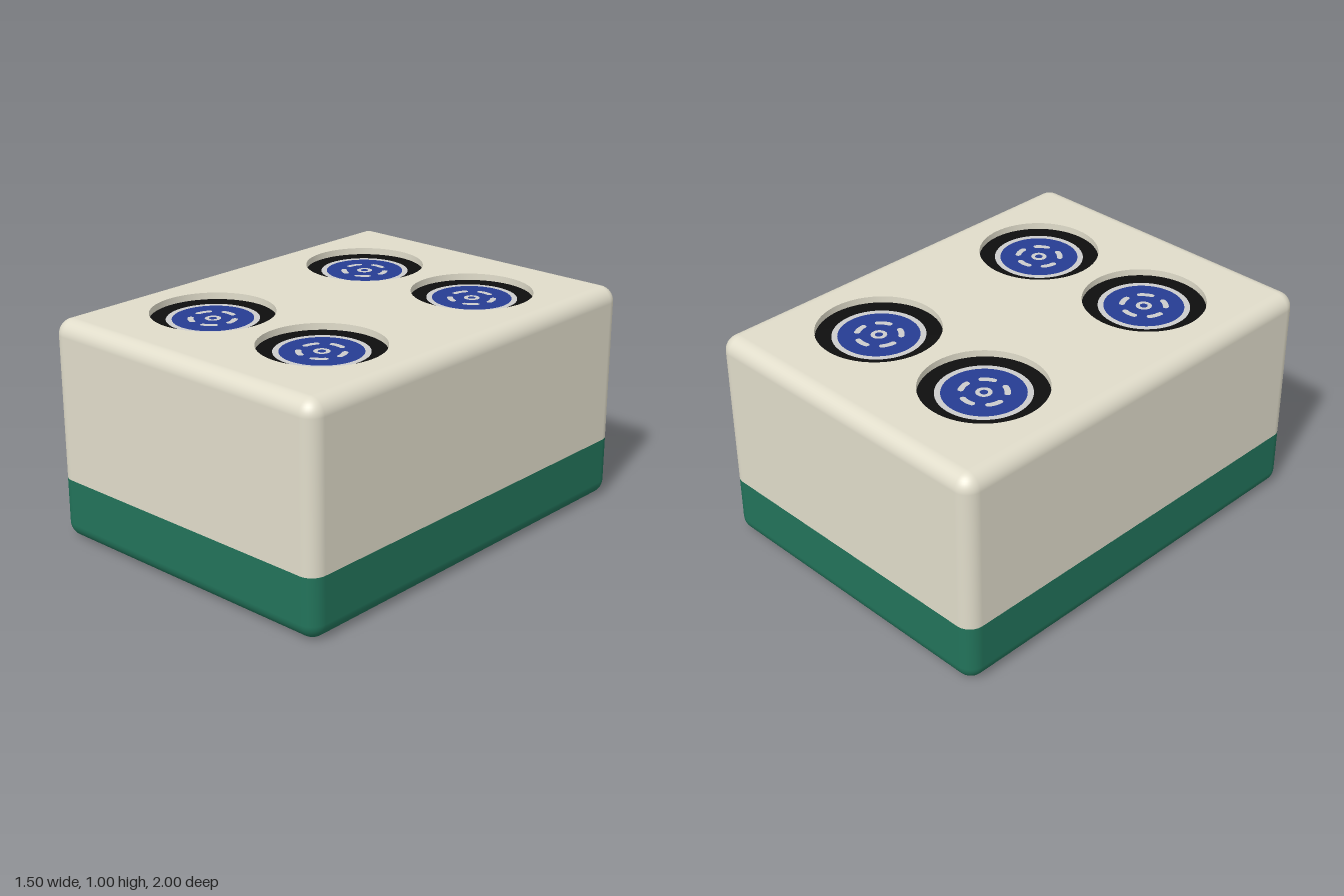
import * as THREE from 'three';

const HX = 0.75, HZ = 1, H = 1, R = 0.07, SEAM = 0.28;
const DOT_R = 0.27, DEPTH = 0.03;
const DOTS = [[-0.316, -0.488], [0.316, -0.488], [-0.316, 0.48], [0.316, 0.48]];

const paint = (color, side = THREE.FrontSide) =>
  new THREE.MeshStandardMaterial({ color, side });

function addMesh(parent, name, geometry, material) {
  const mesh = new THREE.Mesh(geometry, material);
  mesh.name = name;
  parent.add(mesh);
  return mesh;
}

// Flat shape laid horizontally, facing up
const flat = (shapes, y) =>
  new THREE.ShapeGeometry(shapes, 32).rotateX(-Math.PI / 2).translate(0, y, 0);

// Side wall of a rounded box; each row is [height, elevation angle of the normal]
function roundedWall(rows, n = 10) {
  const pos = [], nor = [], idx = [];
  const per = 4 * (n + 1);
  for (const [y, a] of rows) {
    for (let q = 0; q < 4; q++) {
      const sx = q === 0 || q === 3 ? 1 : -1, sz = q < 2 ? 1 : -1;
      for (let i = 0; i <= n; i++) {
        const t = (q + i / n) * Math.PI / 2;
        const cx = Math.cos(a) * Math.cos(t), cz = Math.cos(a) * Math.sin(t);
        pos.push(sx * (HX - R) + R * cx, y, sz * (HZ - R) + R * cz);
        nor.push(cx, Math.sin(a), cz);
      }
    }
  }
  for (let r = 0; r < rows.length - 1; r++) {
    for (let i = 0; i < per; i++) {
      const j = (i + 1) % per;
      const a = r * per + i, c = r * per + j, b = a + per, d = c + per;
      idx.push(a, b, c, c, b, d);
    }
  }
  const g = new THREE.BufferGeometry();
  g.setAttribute('position', new THREE.Float32BufferAttribute(pos, 3));
  g.setAttribute('normal', new THREE.Float32BufferAttribute(nor, 3));
  g.setIndex(idx);
  return g;
}

function rectShape() {
  const x = HX - R, z = HZ - R;
  return new THREE.Shape([[-x, -z], [x, -z], [x, z], [-x, z]].map(p => new THREE.Vector2(...p)));
}

function disc(r, inner = 0, x = 0, y = 0) {
  const s = new THREE.Shape().absarc(x, y, r, 0, Math.PI * 2, false);
  if (inner) s.holes.push(new THREE.Path().absarc(x, y, inner, 0, Math.PI * 2, true));
  return s;
}

// Curved slot with round ends
function slot(angle, r = 0.095, w = 0.013, half = 0.27) {
  const a0 = angle - half, a1 = angle + half;
  const s = new THREE.Shape();
  s.absarc(0, 0, r + w, a0, a1, false);
  s.absarc(r * Math.cos(a1), r * Math.sin(a1), w, a1, a1 + Math.PI, false);
  s.absarc(0, 0, r - w, a1, a0, true);
  s.absarc(r * Math.cos(a0), r * Math.sin(a0), w, a0 + Math.PI, a0 + Math.PI * 2, false);
  return s;
}

export function createModel() {
  const model = new THREE.Group();
  model.name = 'gameTile';
  const ivory = paint(0xe0dcca), green = paint(0x22735a);
  const black = paint(0x0e0e0e), grey = paint(0xcccccc), blue = paint(0x263c92);
  const ivoryInside = paint(0xe0dcca, THREE.DoubleSide);

  // Quarter-round edge rows
  const N = 10;
  const topRows = [[SEAM, 0]], baseRows = [];
  for (let i = 0; i <= N; i++) {
    const a = i / N * Math.PI / 2, b = a - Math.PI / 2;
    topRows.push([H - R + R * Math.sin(a), a]);
    baseRows.push([R + R * Math.sin(b), b]);
  }
  baseRows.push([SEAM, 0]);

  // Ivory upper body with four round recesses
  addMesh(model, 'upperBody', roundedWall(topRows), ivory);
  const face = rectShape();
  for (const [x, z] of DOTS) {
    face.holes.push(new THREE.Path().absarc(x, -z, DOT_R, 0, Math.PI * 2, true));
  }
  addMesh(model, 'topFace', flat(face, H), ivory);

  // Green base
  addMesh(model, 'base', roundedWall(baseRows), green);
  addMesh(model, 'baseUnderside',
    new THREE.ShapeGeometry(rectShape()).rotateX(Math.PI / 2), green);

  // Inlaid dots: fitted pieces on the floor of each recess
  const slots = [];
  for (let k = 0; k < 5; k++) slots.push(slot(Math.PI / 2 + k * Math.PI * 2 / 5));
  const centre = disc(0.175);
  centre.holes.push(...slots, disc(0.035));

  const y = H - DEPTH;
  const pieces = [
    ['outerRing', flat(disc(DOT_R, 0.2), y), black],
    ['middleRing', flat(disc(0.2, 0.175), y), grey],
    ['centreDisc', flat([centre, disc(0.017)], y), blue],
    ['centreMarks', flat([...slots, disc(0.035, 0.017)], y), grey],
    ['recessWall', new THREE.CylinderGeometry(DOT_R, DOT_R, DEPTH, 64, 1, true)
      .translate(0, H - DEPTH / 2, 0), ivoryInside],
  ];
  for (const [x, z] of DOTS) {
    const dot = new THREE.Group();
    dot.name = 'dot';
    for (const [name, geometry, material] of pieces) addMesh(dot, name, geometry, material);
    dot.position.set(x, 0, z);
    model.add(dot);
  }
  return model;
}
